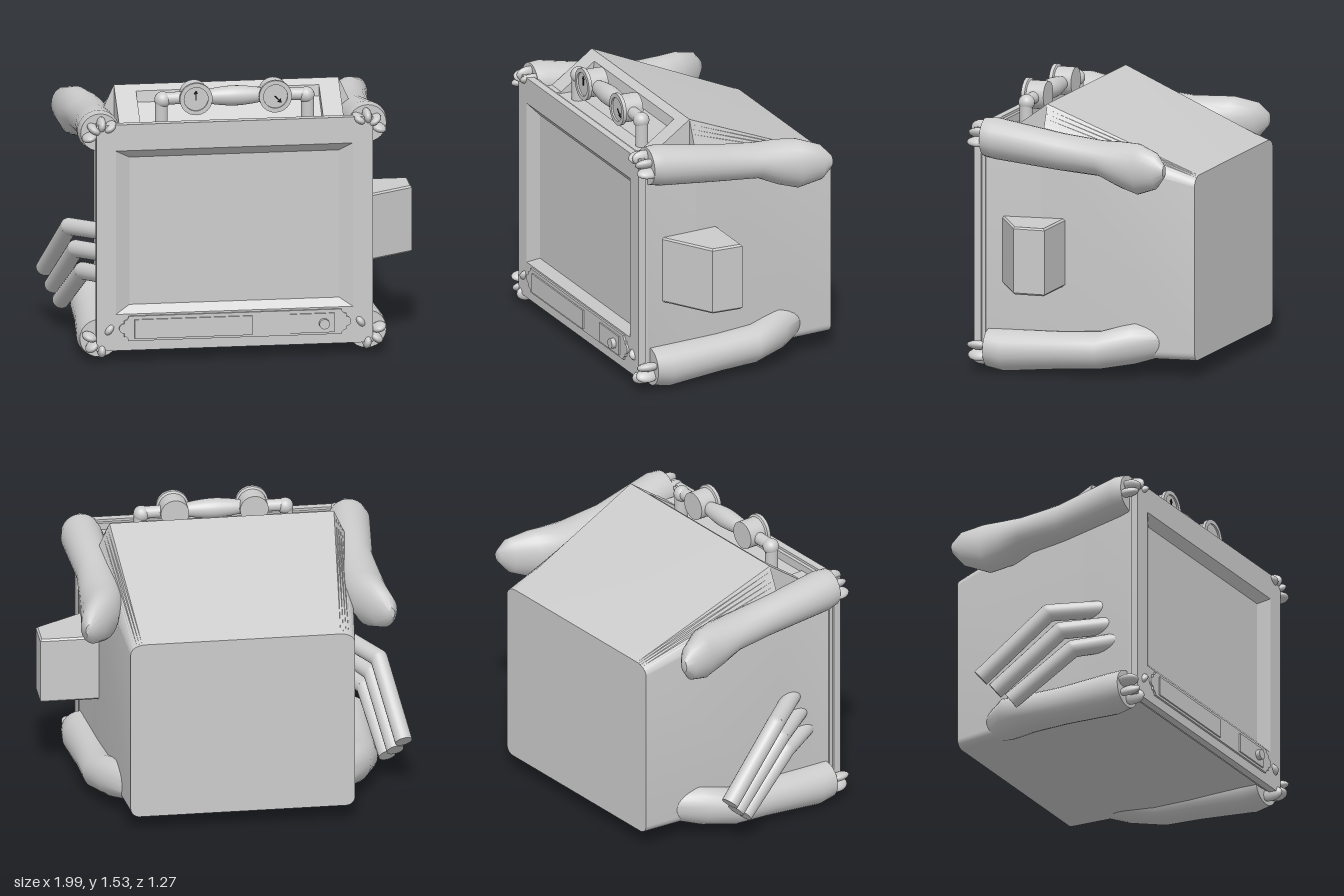
import * as THREE from 'three';
import { toCreasedNormals } from 'three/addons/utils/BufferGeometryUtils.js';

const V = (x, y, z) => new THREE.Vector3(x, y, z);
const CX = -0.02; // symmetry plane of the cabinet
const P = Math.PI;

// Skin through closed rings (counter-clockwise about the direction of travel)
function loft(rings, { start = true, end = true, crease = 0.6 } = {}) {
  const pos = [], n = rings[0].length;
  const tri = (...p) => p.forEach((v) => pos.push(v.x, v.y, v.z));
  const mid = (r) => r.reduce((s, v) => s.add(v), V(0, 0, 0)).divideScalar(n);
  for (let j = 0; j < n; j++) {
    const k = (j + 1) % n, first = rings[0], last = rings[rings.length - 1];
    for (let i = 0; i < rings.length - 1; i++) {
      const [p, q] = [rings[i], rings[i + 1]];
      tri(p[j], p[k], q[k]);
      tri(p[j], q[k], q[j]);
    }
    if (start) tri(mid(first), first[k], first[j]);
    if (end) tri(mid(last), last[j], last[k]);
  }
  const g = new THREE.BufferGeometry();
  g.setAttribute('position', new THREE.Float32BufferAttribute(pos, 3));
  return toCreasedNormals(g, crease);
}

// Cabinet section: half width, top height, size of the top corners, and
// their roundness (0 is a straight chamfer)
function cabinetRing(z, half, top, rx, ry, round) {
  const y0 = 0.1, rb = 0.05, pts = [], N = 8;
  const corner = (sx, cx, cy, ax, ay, a0, k) => {
    for (let i = 0; i <= N; i++) {
      const a = a0 + (i / N) * P / 2;
      const t = i / N, flat = a0 === 0 ? [1 - t, t] : [-t, 1 - t];
      const c = THREE.MathUtils.lerp(flat[0], Math.cos(a), k);
      const s = THREE.MathUtils.lerp(flat[1], Math.sin(a), k);
      pts.push(V(CX + sx * cx + ax * c, cy + ay * s, z));
    }
  };
  corner(1, half - rx, top - ry, rx, ry, 0, round);
  corner(-1, half - rx, top - ry, rx, ry, P / 2, round);
  corner(-1, half - rb, y0 + rb, rb, rb, P, 1);
  corner(1, half - rb, y0 + rb, rb, rb, P * 1.5, 1);
  return pts;
}

function polygon(points) {
  return new THREE.Shape(points.map(([x, y]) => new THREE.Vector2(x, y)));
}

const rect = (x0, y0, x1, y1) => [[x0, y0], [x1, y0], [x1, y1], [x0, y1]];

export function createModel() {
  const model = new THREE.Group();
  const mat = new THREE.MeshStandardMaterial({ color: 0xcccccc, side: THREE.DoubleSide });
  const black = new THREE.MeshStandardMaterial({ color: 0x111111 });
  const add = (name, geo, x = 0, y = 0, z = 0, material = mat) => {
    const m = new THREE.Mesh(geo, material);
    m.name = name;
    m.position.set(x, y, z);
    model.add(m);
    return m;
  };
  const rod = (name, a, b, r) => {
    const d = b.clone().sub(a);
    const m = add(name, new THREE.CylinderGeometry(r, r, d.length(), 20));
    m.position.copy(a).addScaledVector(d, 0.5);
    m.quaternion.setFromUnitVectors(V(0, 1, 0), d.normalize());
  };

  // Cabinet flaring towards the front, with a roof sloping down to the back
  add('cabinet', loft([
    cabinetRing(-0.635, 0.617, 1.125, 0.08, 0.055, 1), cabinetRing(0.22, 0.707, 1.475, 0.09, 0.2, 0),
    cabinetRing(0.221, 0.707, 1.28, 0.01, 0.01, 1), cabinetRing(0.535, 0.74, 1.28, 0.01, 0.01, 1),
  ], { crease: 0.3 }));

  // Hood sloping to the front, with a sunken middle
  const hood = (name, xMax, xMin, profile) => {
    const g = new THREE.ExtrudeGeometry(polygon(profile), { depth: xMax - xMin, bevelEnabled: false });
    add(name, g.rotateY(-P / 2), xMax);
  };
  const side = [[0.22, 1.2], [0.535, 1.2], [0.535, 1.3], [0.46, 1.3], [0.22, 1.475]];
  hood('hoodLeft', 0.597, 0.485, side);
  hood('hoodRight', -0.52, -0.637, side);
  hood('hoodRecess', 0.485, -0.52, [[0.22, 1.2], [0.535, 1.2], [0.535, 1.29], [0.39, 1.29],
    [0.27, 1.385], [0.26, 1.446], [0.22, 1.475]]);

  // Front frame, sloped screen surround and screen
  const frame = polygon(rect(-0.78, 0.075, 0.737, 1.35));
  frame.holes.push(polygon(rect(-0.675, 0.28, 0.628, 1.203)));
  add('frontFrame', new THREE.ExtrudeGeometry(frame, { depth: 0.043, bevelEnabled: false }), 0, 0, 0.552);
  add('frameBacking', new THREE.BoxGeometry(1.49, 1.25, 0.02), CX, 0.712, 0.541);
  const ring = (z, ...r) => rect(...r).map(([x, y]) => V(x, y, z));
  add('screen', loft([ring(0.595, -0.675, 0.28, 0.628, 1.203), ring(0.553, -0.595, 0.323, 0.557, 1.155)],
    { start: false, crease: 0.2 }));

  // Control plaque with scalloped ends
  const w = 0.61, h = 0.07, r = 0.025;
  const plaque = new THREE.Shape();
  plaque.moveTo(-w + r, -h).lineTo(w - r, -h);
  plaque.absarc(w, -h, r, P, P / 2, true).absarc(w, 0, 0.027, -P / 2, P / 2, false);
  plaque.absarc(w, h, r, -P / 2, -P, true).absarc(-w, h, r, 0, -P / 2, true);
  plaque.absarc(-w, 0, 0.027, P / 2, P * 1.5, false).absarc(-w, -h, r, P / 2, 0, true);
  add('controlPlaque', new THREE.ExtrudeGeometry(plaque, { depth: 0.014, bevelEnabled: false }), CX, 0.2, 0.592);
  add('longPanel', new THREE.BoxGeometry(0.645, 0.108, 0.016), -0.25, 0.197, 0.606);
  add('knobPanel', new THREE.BoxGeometry(0.245, 0.108, 0.016), 0.402, 0.197, 0.606);
  add('knob', new THREE.CylinderGeometry(0.028, 0.028, 0.035, 24).rotateX(P / 2), 0.467, 0.195, 0.622);

  // Side box with a slanted front
  const box = polygon([[0.6, -0.495], [0.985, -0.265], [0.985, -0.1], [0.6, -0.1]]);
  add('sideBox', new THREE.ExtrudeGeometry(box, {
    depth: 0.355, bevelSize: 0.01, bevelThickness: 0.01, bevelSegments: 1,
  }).rotateX(-P / 2), 0, 0.495, 0);

  // Bent pipes on the other side
  [
    [V(-0.67, 0.68, 0.37), V(-0.865, 0.645, 0.08), V(-0.95, 0.31, -0.3)],
    [V(-0.68, 0.57, 0.41), V(-0.835, 0.535, 0.14), V(-0.913, 0.23, -0.23)],
    [V(-0.69, 0.46, 0.45), V(-0.805, 0.425, 0.2), V(-0.88, 0.165, -0.15)],
  ].forEach(([a, b, c]) => {
    rod('pipeRoot', a, b, 0.048);
    rod('pipe', b, c, 0.048);
    add('pipeElbow', new THREE.SphereGeometry(0.048, 20, 14), b.x, b.y, b.z);
  });

  // Arms, listed back to front: [offset from middle, y, z, half width, half height]
  const upper = [[0.825, 1.185, -0.535, 0.025, 0.035], [0.80, 1.18, -0.48, 0.07, 0.1],
    [0.75, 1.175, -0.36, 0.103, 0.14], [0.725, 1.19, -0.25, 0.118, 0.125], [0.715, 1.215, -0.13, 0.118, 0.097],
    [0.712, 1.235, 0.1, 0.103, 0.102], [0.735, 1.29, 0.47, 0.116, 0.114], [0.735, 1.295, 0.535, 0.105, 0.105]];
  const lower = [[0.55, 0.195, -0.46, 0.07, 0.08], [0.63, 0.185, -0.30, 0.12, 0.115],
    [0.70, 0.147, -0.12, 0.112, 0.104], [0.715, 0.135, 0.1, 0.105, 0.103],
    [0.735, 0.12, 0.42, 0.115, 0.115], [0.735, 0.128, 0.515, 0.108, 0.106]];
  const upperClaws = [[0.06, -0.02], [0.035, 0.025], [-0.005, 0.05], [-0.05, 0.035]];
  const lowerClaws = [[0.06, 0.02], [0.045, -0.035], [-0.005, -0.055], [-0.045, 0.065]];
  for (const s of [-1, 1]) {
    for (const [name, stations, claws] of [['upper', upper, upperClaws], ['lower', lower, lowerClaws]]) {
      add(name + 'Arm', loft(stations.map(([dx, y, z, rx, ry]) => Array.from({ length: 24 }, (_, i) => {
        const a = (i / 24) * 2 * P;
        return V(CX + s * dx + rx * Math.cos(a), y + ry * Math.sin(a), z);
      })), { crease: 0.9 }));
      const hand = stations[stations.length - 1];
      // Claws fan out from the middle of the hand
      for (const [ox, oy] of claws) {
        const c = add(name + 'Claw', new THREE.SphereGeometry(1, 16, 12),
          CX + s * (hand[0] + ox), hand[1] + oy, 0.555);
        c.scale.set(0.042, 0.025, 0.065);
        c.rotation.z = Math.atan2(oy, s * ox);
      }
    }
  }

  // Carrying handle: swelling grip, elbowed legs and two dials
  const hy = 1.445, hz = 0.415;
  const grip = [[0.036, -0.16], [0.048, -0.09], [0.055, 0], [0.048, 0.09], [0.036, 0.16]];
  const swell = new THREE.SplineCurve(grip.map(([a, b]) => new THREE.Vector2(a, b))).getPoints(20);
  add('handleGrip', new THREE.LatheGeometry(swell, 24).rotateZ(P / 2), 0, hy, hz);
  for (const s of [-1, 1]) {
    rod('handleBar', V(s * 0.2, hy, hz), V(s * 0.395, hy - 0.005, hz), 0.034);
    add('handleElbow', new THREE.SphereGeometry(0.045, 20, 14), s * 0.395, hy - 0.01, hz);
    rod('handleLeg', V(s * 0.402, hy, hz), V(s * 0.402, 1.27, hz), 0.035);
    const dx = s * 0.218;
    const dial = [[0, -0.06], [0.078, -0.06], [0.078, 0.04], [0.09, 0.045], [0.09, 0.065], [0.066, 0.065], [0.066, 0.055], [0, 0.055]];
    const body = new THREE.LatheGeometry(dial.map(([a, b]) => new THREE.Vector2(a, b)), 32).rotateX(P / 2);
    add('dial', toCreasedNormals(body, 0.6), dx, hy + 0.003, hz);
    const arrow = polygon([[-0.003, -0.005], [0.003, -0.005], [0.003, 0.03], [0.012, 0.03], [0, 0.05], [-0.012, 0.03], [-0.003, 0.03]]);
    const pointer = new THREE.ExtrudeGeometry(arrow, { depth: 0.005, bevelEnabled: false });
    add('dialPointer', pointer, dx, hy, hz + 0.054, black).rotation.z = s < 0 ? 0 : -P * 0.75;
  }
  return model;
}
